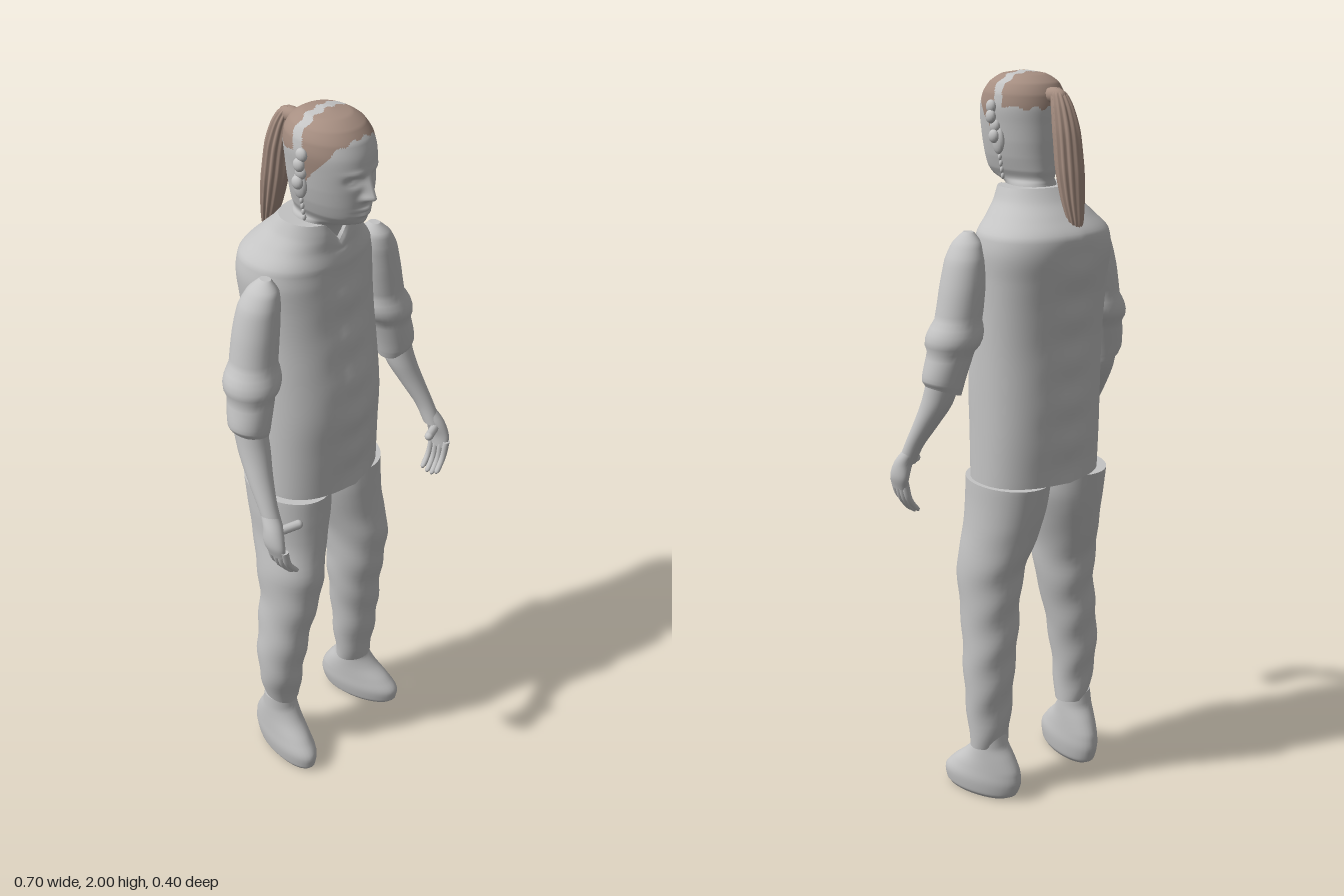
import * as THREE from 'three';

const grey = new THREE.MeshStandardMaterial({ color: 0xc4c4c4, side: THREE.DoubleSide });
grey.name = 'pale grey';
const brown = new THREE.MeshStandardMaterial({ color: 0xa78f82, side: THREE.DoubleSide });
brown.name = 'hair brown';

// Smooth skin through horizontal rings [x, y, z, rx, rz], lowest first, with capped ends.
// shape(p, angle, ring) may move each vertex; paint(p) picks material 0 or 1 for a face.
function loft(rings, { n = 32, sub = 5, power = 2, shape, paint } = {}) {
  const centre = new THREE.CatmullRomCurve3(rings.map(r => new THREE.Vector3(r[0], r[1], r[2])));
  const radius = new THREE.CatmullRomCurve3(rings.map(r => new THREE.Vector3(r[3], 0, r[4])));
  const rows = (rings.length - 1) * sub, pts = [], faces = [[], []];
  const bend = v => Math.sign(v) * Math.abs(v) ** (2 / power);
  for (let i = 0; i <= rows; i++) {
    const c = centre.getPoint(i / rows), r = radius.getPoint(i / rows);
    for (let j = 0; j < n; j++) {
      const a = j / n * Math.PI * 2;
      const p = new THREE.Vector3(c.x + bend(Math.cos(a)) * r.x, c.y, c.z + bend(Math.sin(a)) * r.z);
      if (shape) shape(p, a, c);
      pts.push(p);
    }
  }
  const add = (a, b, c) => {
    const mid = pts[a].clone().add(pts[b]).add(pts[c]).divideScalar(3);
    faces[paint ? paint(mid) : 0].push(a, b, c);
  };
  for (let i = 0; i < rows; i++) for (let j = 0; j < n; j++) {
    const k = (j + 1) % n, a = i * n + j, b = i * n + k;
    add(a, a + n, b);
    add(b, a + n, b + n);
  }
  for (const [row, up] of [[0, false], [rows, true]]) {
    const rim = pts.slice(row * n, row * n + n).map(p => p.clone()), base = pts.length;
    const mid = new THREE.Vector3();
    rim.forEach(p => mid.addScaledVector(p, 1 / n));
    pts.push(...rim, mid);
    for (let j = 0; j < n; j++) {
      const a = base + j, b = base + (j + 1) % n;
      if (up) add(base + n, b, a); else add(base + n, a, b);
    }
  }
  const geo = new THREE.BufferGeometry().setFromPoints(pts);
  geo.setIndex([...faces[0], ...faces[1]]);
  if (paint) {
    geo.addGroup(0, faces[0].length, 0);
    geo.addGroup(faces[0].length, faces[1].length, 1);
  }
  geo.computeVertexNormals();
  return geo;
}

const bump = (d, s) => Math.exp(-d * d / (s * s));
const clamp = THREE.MathUtils.clamp;

export function createModel() {
  const model = new THREE.Group();
  const put = (name, geo, mat = grey, parent = model) => {
    const mesh = new THREE.Mesh(geo, mat);
    mesh.name = name;
    parent.add(mesh);
    return mesh;
  };
  const ball = (name, x, y, z, rx, ry, rz, mat, parent) => {
    const m = put(name, new THREE.SphereGeometry(1, 16, 12), mat, parent);
    m.position.set(x, y, z);
    m.scale.set(rx, ry, rz);
    return m;
  };

  // Jacket: soft creases, centre seam front and back, V at the collar
  put('jacket', loft([
    [.008, .95, -.008, .183, .138], [.008, 1.08, -.01, .182, .145], [.008, 1.2, -.01, .181, .15],
    [.008, 1.32, -.018, .18, .145], [.009, 1.42, -.03, .18, .142], [.01, 1.5, -.04, .182, .143],
    [.011, 1.56, -.047, .185, .145], [.012, 1.61, -.047, .178, .14], [.01, 1.65, -.033, .142, .118],
    [.006, 1.685, -.015, .112, .098], [.005, 1.72, -.003, .096, .079]
  ], {
    n: 64, sub: 6, power: 2.25,
    shape(p, a, c) {
      const fade = clamp((1.66 - p.y) / .1, 0, 1);
      const crease = .004 * Math.sin(p.y * 55) * bump(p.x - .01, .06) * fade;
      const seam = .005 * bump(p.x - .01, .014) * fade;
      p.z += Math.sign(Math.sin(a)) * (crease + seam) * Math.abs(Math.sin(a));
      if (Math.sin(a) > 0) p.y -= .055 * Math.max(0, 1 - Math.abs(p.x - .005) / .045) * clamp((c.y - 1.64) / .08, 0, 1);
    }
  }));

  // Trousers
  const wrinkles = (p, a) => { p.z += .003 * Math.sin(p.y * 48 + Math.cos(a) * 2) * clamp((.85 - p.y) * 6, 0, 1); };
  put('rightTrouserLeg', loft([
    [-.155, .2, .015, .05, .045], [-.168, .3, .02, .063, .06], [-.165, .4, .022, .07, .072],
    [-.152, .5, .025, .073, .08], [-.137, .6, .03, .078, .092], [-.13, .7, .025, .084, .105],
    [-.11, .8, .005, .09, .115], [-.1, .88, -.005, .1, .125], [-.097, .95, -.012, .101, .132]
  ], { shape: wrinkles }));
  put('leftTrouserLeg', loft([
    [.155, .16, .015, .058, .045], [.15, .28, .02, .068, .06], [.147, .4, .022, .073, .072],
    [.14, .5, .025, .077, .08], [.137, .6, .03, .08, .092], [.133, .7, .025, .086, .105],
    [.115, .8, .005, .095, .115], [.105, .88, -.005, .1, .125], [.103, .95, -.012, .101, .132]
  ], { shape: wrinkles }));

  // Boots, turned slightly outward
  for (const [name, x, turn, tall] of [['rightBoot', -.165, -.14, 1], ['leftBoot', .15, .28, .88]]) {
    const boot = put(name, loft([
      [0, 0, .05, .04, .1], [0, .015, .045, .049, .117], [0, .055, .04, .054, .126], [0, .1, .025, .052, .108],
      [0, .14, .014, .05, .078], [0, .18, .012, .048, .052], [0, .22, .012, .046, .043]
    ]));
    boot.position.x = x;
    boot.rotation.y = turn;
    boot.scale.y = tall;
  }

  // Arms with short sleeves, bare forearms and hands
  for (const s of [-1, 1]) {
    const side = s < 0 ? 'right' : 'left', arm = new THREE.Group();
    arm.name = side + 'Arm';
    model.add(arm);
    const limb = (name, rings, opts) => put(name, loft(rings.map(([x, ...r]) => [s * x + .004, ...r]), opts), grey, arm);
    limb('sleeve', [
      [.278, 1.215, .03, .045, .048], [.279, 1.235, .03, .053, .054], [.259, 1.32, .02, .06, .062],
      [.24, 1.4, .012, .06, .062], [.227, 1.48, .01, .057, .061], [.215, 1.55, .012, .05, .055],
      [.205, 1.59, .016, .036, .042], [.198, 1.618, .018, .012, .016]
    ], { shape(p, a) { p.y -= s * .016 * -Math.cos(a) * -1 * clamp((1.3 - p.y) / .08, 0, 1) * -1; } });
    limb('forearm', [
      [.315, 1, .145, .022, .025], [.311, 1.05, .12, .024, .027], [.297, 1.12, .08, .033, .035],
      [.284, 1.18, .05, .04, .043], [.277, 1.25, .028, .042, .045]
    ]);
    limb('palm', [
      [.326, .925, .167, .013, .028], [.33, .96, .16, .019, .034], [.323, 1, .15, .023, .028], [.314, 1.035, .128, .021, .024]
    ]);
    for (let k = 0; k < 4; k++) {
      const z = .143 + .0165 * k, tip = [.006, 0, 0, .01][k];
      limb('finger', [
        [.284, .848 + tip, z + .002, .003, .003], [.289, .856 + tip, z + .002, .009, .008],
        [.314, .89 + tip, z, .01, .0085], [.326, .945, z, .011, .009]
      ], { n: 10, sub: 4 });
    }
    const thumb = put('thumb', new THREE.CapsuleGeometry(.012, .055, 6, 12), grey, arm);
    thumb.position.set(s * .287 + .004, .99, .17);
    thumb.quaternion.setFromUnitVectors(new THREE.Vector3(0, 1, 0), new THREE.Vector3(-s * .053, .004, .02).normalize());
  }

  // Head: modelled face; the swept-back hair has a pale band across the crown
  put('head', loft([
    [.003, 1.64, -.005, .07, .07], [.002, 1.69, .005, .06, .066], [0, 1.722, .016, .057, .074],
    [0, 1.738, .042, .056, .1], [0, 1.757, .048, .066, .11], [0, 1.79, .05, .077, .114],
    [0, 1.83, .05, .086, .117], [0, 1.87, .05, .092, .119], [0, 1.91, .047, .097, .118],
    [0, 1.945, .043, .094, .11], [0, 1.972, .04, .08, .092], [0, 1.991, .04, .052, .06], [0, 1.999, .04, .01, .012]
  ], {
    n: 128, sub: 8, power: 2.1,
    shape(p, a) {
      if (Math.sin(a) < .2 || p.z < .06) return;
      const x = Math.abs(p.x), y = p.y;
      const bridge = y > 1.813 ? clamp((1.873 - y) / .06, 0, 1) : bump(y - 1.813, .008);
      p.z += .029 * bridge * bump(x, .012)                          // nose
        + .009 * bump(x - .016, .008) * bump(y - 1.813, .009)       // nostrils
        - .013 * bump(x - .035, .017) * bump(y - 1.858, .011)       // eye sockets
        + .006 * bump(x - .035, .011) * bump(y - 1.856, .005)       // eyelids
        + .004 * bump(x - .032, .024) * bump(y - 1.878, .007)       // brows
        + .008 * bump(x, .022) * (bump(y - 1.781, .005) + bump(y - 1.768, .005)) // lips
        - .004 * bump(x, .024) * bump(y - 1.7745, .002)
        + .007 * bump(x, .02) * bump(y - 1.742, .01);               // chin
    },
    paint(p) {
      const wave = .005 * Math.sin(p.x * 170);
      const front = p.z > .045 + wave && p.y > 1.87 + (p.z - .07) * 1.12 + wave;
      const back = p.z < .016 + wave && p.y > 1.915 + wave;
      return front || back ? 1 : 0;
    }
  }), [grey, brown]);

  // Ears, loose side locks and dangling ornaments
  for (const s of [-1, 1]) {
    ball('ear', s * .09, 1.832, .035, .011, .034, .021);
    for (let k = 0; k < 4; k++) {
      ball('sideLock', s * (.1 + .006 * Math.sin(k * 2.2)), 1.915 - k * .024, .05 - k * .004, .011, .017, .016);
    }
    for (let k = 0; k < 4; k++) ball('earDrop', s * (.085 - .003 * k), 1.79 - k * .016, .035, .005, .008, .005);
  }

  // Ponytail: gathered at the back of the head, falling in strands
  ball('hairTie', 0, 1.945, -.075, .02, .02, .04, brown);
  put('ponytail', loft([
    [0, 1.605, -.163, .006, .006], [0, 1.64, -.158, .02, .015], [0, 1.7, -.146, .031, .024],
    [0, 1.78, -.133, .036, .031], [0, 1.86, -.121, .034, .031], [0, 1.92, -.105, .027, .026],
    [0, 1.95, -.092, .019, .02], [0, 1.964, -.084, .006, .007]
  ], {
    n: 60,
    shape(p, a, c) {
      const f = 1 + .09 * Math.cos(a * 12);
      p.x = c.x + (p.x - c.x) * f;
      p.z = c.z + (p.z - c.z) * f;
    }
  }), brown);

  return model;
}
